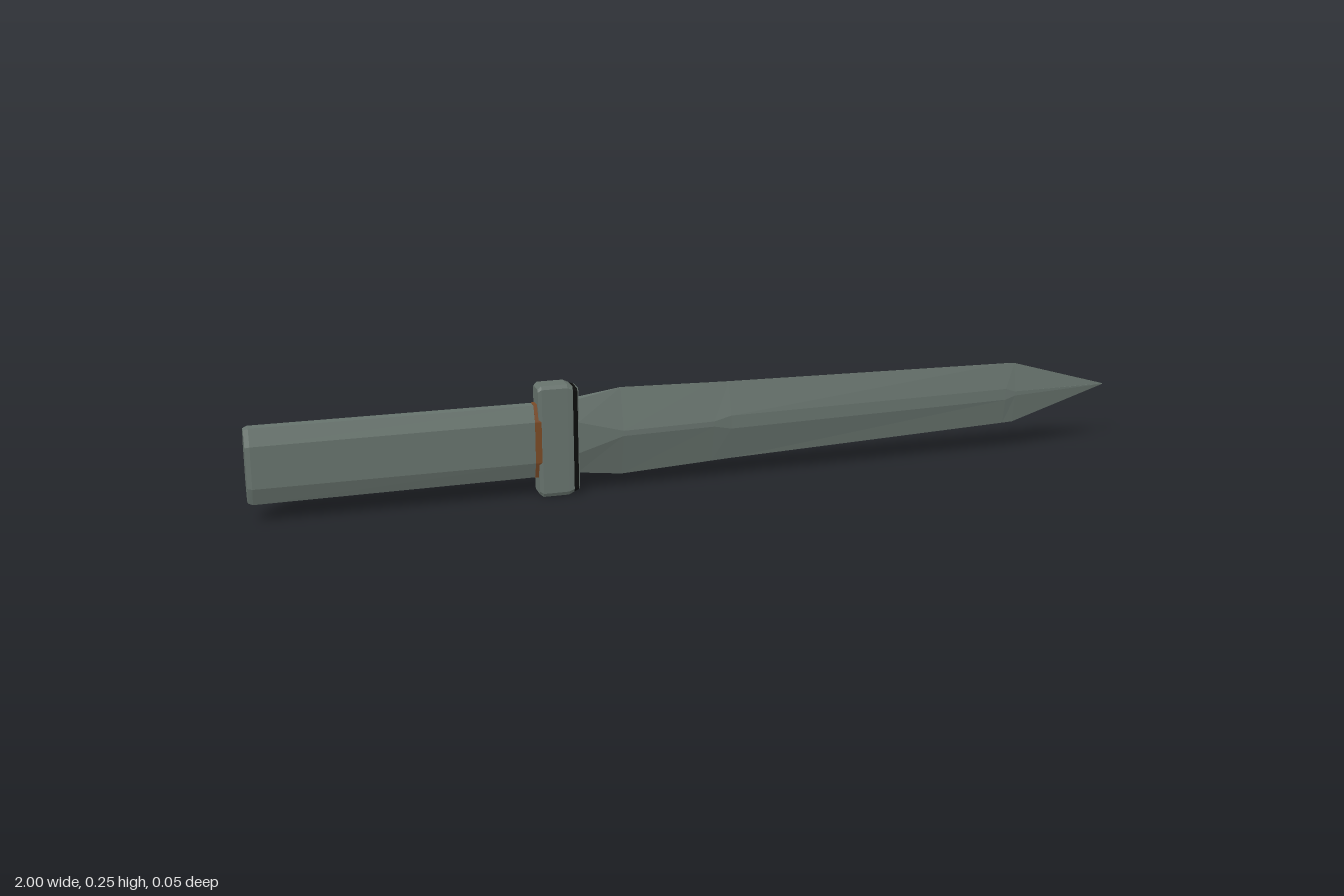
import * as THREE from 'three';

const MID = 0.125;

// Eight-sided ring around the x axis: hy/hz are half height and half thickness,
// fy is the half height of the broad side flat, fz the half width of the edge flat.
function ring(x, hy, hz, fy, fz, cy = MID) {
  return [
    [hy, fz], [fy, hz], [-fy, hz], [-hy, fz],
    [-hy, -fz], [-fy, -hz], [fy, -hz], [hy, -fz],
  ].map(([y, z]) => [x, cy + y, z]);
}

// Skins a row of rings, ordered along +x, and caps both ends.
function loft(name, material, rings) {
  const pos = [];
  const tri = (...points) => points.forEach((p) => pos.push(...p));
  for (let i = 0; i < rings.length - 1; i++) {
    const a = rings[i], b = rings[i + 1];
    for (let j = 0; j < 8; j++) {
      const k = (j + 1) % 8;
      tri(a[j], a[k], b[j]);
      tri(a[k], b[k], b[j]);
    }
  }
  const first = rings[0], last = rings[rings.length - 1];
  for (let j = 1; j < 7; j++) {
    tri(first[0], first[j + 1], first[j]);
    tri(last[0], last[j], last[j + 1]);
  }
  const geometry = new THREE.BufferGeometry();
  geometry.setAttribute('position', new THREE.Float32BufferAttribute(pos, 3));
  geometry.computeVertexNormals();
  const mesh = new THREE.Mesh(geometry, material);
  mesh.name = name;
  return mesh;
}

export function createModel() {
  const steel = new THREE.MeshStandardMaterial({ color: 0x67736d });
  steel.name = 'grey green steel';
  const black = new THREE.MeshStandardMaterial({ color: 0x0c0d0c });
  black.name = 'black';
  const copper = new THREE.MeshStandardMaterial({ color: 0x7a4a26 });
  copper.name = 'copper brown';

  const dagger = new THREE.Group();
  dagger.name = 'dagger';

  // Grip with bevelled long edges and a slightly rounded butt
  dagger.add(loft('grip', steel, [
    ring(-1.0, 0.079, 0.021, 0.044, 0.01),
    ring(-0.99, 0.083, 0.024, 0.046, 0.012),
    ring(-0.37, 0.081, 0.024, 0.046, 0.012),
  ]));

  // Thin collar where the grip meets the guard
  dagger.add(loft('collar', copper, [
    ring(-0.388, 0.082, 0.0246, 0.046, 0.0125),
    ring(-0.372, 0.082, 0.0246, 0.046, 0.0125),
  ]));

  // Guard block, dark seam and front plate
  dagger.add(loft('guard', steel, [
    ring(-0.38, 0.118, 0.023, 0.112, 0.019),
    ring(-0.372, 0.125, 0.025, 0.117, 0.021),
    ring(-0.315, 0.125, 0.025, 0.117, 0.021),
    ring(-0.302, 0.119, 0.0245, 0.112, 0.02),
  ]));
  dagger.add(loft('guardSeam', black, [
    ring(-0.303, 0.119, 0.025, 0.112, 0.021),
    ring(-0.293, 0.115, 0.0245, 0.108, 0.02),
  ]));
  dagger.add(loft('guardPlate', steel, [
    ring(-0.294, 0.115, 0.023, 0.108, 0.02),
    ring(-0.29, 0.114, 0.022, 0.107, 0.019),
  ]));

  // Double-edged blade: thick root, diamond section, narrow central flat, point
  dagger.add(loft('blade', steel, [
    ring(-0.292, 0.083, 0.024, 0.035, 0.01, 0.128),
    ring(-0.19, 0.099, 0.024, 0.006, 0.0008, 0.129),
    ring(0.02, 0.091, 0.021, 0.006, 0.0008, 0.131),
    ring(0.06, 0.0895, 0.0195, 0.015, 0.0008, 0.1315),
    ring(0.74, 0.072, 0.0125, 0.013, 0.0008, 0.137),
    ring(0.765, 0.071, 0.012, 0.005, 0.0008, 0.137),
    ring(1.0, 0.001, 0.0006, 0.0005, 0.0003, 0.139),
  ]));

  return dagger;
}
